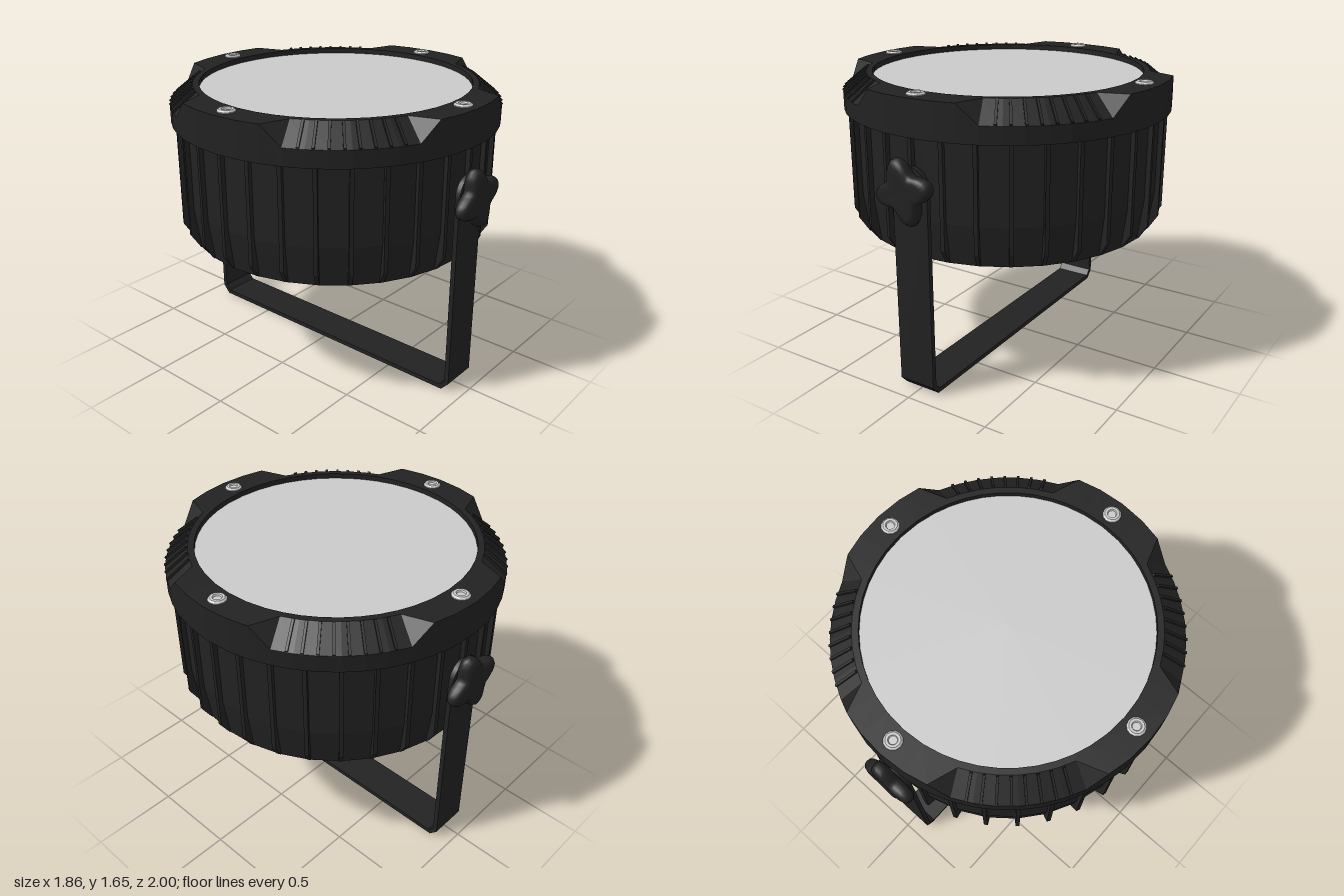
import * as THREE from 'three';
import { mergeVertices } from 'three/addons/utils/BufferGeometryUtils.js';

const black = new THREE.MeshStandardMaterial({ color: 0x222222 });
black.name = 'black casing';
const grey = new THREE.MeshStandardMaterial({ color: 0xcacaca });
grey.name = 'light grey';

const v2 = (pts) => pts.map(([x, y]) => new THREE.Vector2(x, y));

// Faceted copy of a geometry
function flat(geo) {
  const g = geo.index ? geo.toNonIndexed() : geo;
  g.computeVertexNormals();
  return g;
}

function add(parent, name, geo, mat = black) {
  const mesh = new THREE.Mesh(geo, mat);
  mesh.name = name;
  parent.add(mesh);
  return mesh;
}

// Bezel ring: cross-sections swept round, cut back to a chamfer on the four diagonals
function bezelGeometry() {
  const angles = [0, 9, 17, 24, 31, 38, 45, 52, 59, 66, 73, 81];
  const sections = [];
  for (let q = 0; q < 4; q++) {
    for (const d of angles) {
      const cut = d >= 24 && d <= 66;
      const a = THREE.MathUtils.degToRad(q * 90 + d);
      const profile = [
        [0.765, 1.44], [0.765, 1.64],
        [cut ? 0.8 : 0.93, 1.64], [0.93, cut ? 1.535 : 1.64],
        [0.93, 1.44],
      ];
      sections.push(profile.map(([r, y]) => [r * Math.cos(a), y, r * Math.sin(a)]));
    }
  }
  const pos = [];
  sections.forEach((s, i) => {
    const n = sections[(i + 1) % sections.length];
    for (let j = 0; j < s.length; j++) {
      const k = (j + 1) % s.length;
      pos.push(...s[j], ...n[j], ...s[k], ...n[j], ...n[k], ...s[k]);
    }
  });
  const g = new THREE.BufferGeometry();
  g.setAttribute('position', new THREE.Float32BufferAttribute(pos, 3));
  g.computeVertexNormals();
  return g;
}

// Four-lobed knob: a rounded disc whose radius swells with angle, axis along z
function knobGeometry() {
  const profile = v2([
    [0, 0], [0.7, 0], [0.9, 0.01], [0.98, 0.025], [1, 0.043],
    [0.98, 0.06], [0.9, 0.076], [0.72, 0.085], [0.4, 0.082], [0, 0.08],
  ]);
  let g = new THREE.LatheGeometry(profile, 48);
  g.rotateX(Math.PI / 2);
  const p = g.attributes.position;
  for (let i = 0; i < p.count; i++) {
    const t = Math.atan2(p.getY(i), p.getX(i));
    const r = 0.145 + 0.035 * Math.cos(4 * (t - 0.28));
    p.setXY(i, p.getX(i) * r, p.getY(i) * r);
  }
  g.deleteAttribute('uv');
  g.deleteAttribute('normal');
  g = mergeVertices(g, 1e-5);
  g.computeVertexNormals();
  return g;
}

export function createModel() {
  const model = new THREE.Group();
  model.name = 'stageLight';

  // Housing drum, tapering toward its base
  add(model, 'housing', flat(new THREE.LatheGeometry(
    v2([[0, 0.775], [0.85, 0.775], [0.882, 1.0], [0.882, 1.5]]), 32)));

  // Cooling fins around the drum
  const finShape = new THREE.Shape(v2([
    [0.83, 0.778], [0.855, 0.778], [0.908, 0.86], [0.908, 1.5], [0.83, 1.5],
  ]));
  const finGeo = new THREE.ExtrudeGeometry(finShape, { depth: 0.022, bevelEnabled: false });
  finGeo.translate(0, 0, -0.011);
  const fins = new THREE.Group();
  fins.name = 'coolingFins';
  model.add(fins);
  for (let i = 0; i < 32; i++) {
    add(fins, 'fin', finGeo).rotation.y = (i / 32) * Math.PI * 2;
  }

  // Bezel and lens
  add(model, 'bezel', bezelGeometry());
  const lens = add(model, 'lens', new THREE.CircleGeometry(0.775, 48), grey);
  lens.rotation.x = -Math.PI / 2;
  lens.position.y = 1.61;

  // Grip ribs lying on the chamfers
  const ribGeo = new THREE.BoxGeometry(0.16, 0.02, 0.014);
  ribGeo.rotateZ(-Math.atan2(0.105, 0.13));
  ribGeo.translate(0.865, 1.588, 0);
  const ribs = new THREE.Group();
  ribs.name = 'gripRibs';
  model.add(ribs);
  for (let q = 0; q < 4; q++) {
    for (let i = 0; i < 8; i++) {
      const deg = q * 90 + 45 + (i - 3.5) * 4.6;
      add(ribs, 'gripRib', ribGeo).rotation.y = THREE.MathUtils.degToRad(deg);
    }
  }

  // Screws on the bezel, each with a shallow socket
  const screwGeo = flat(new THREE.LatheGeometry(v2([
    [0.05, 1.635], [0.05, 1.645], [0.04, 1.654], [0.026, 1.654], [0.022, 1.645], [0, 1.645],
  ]), 12));
  for (let q = 0; q < 4; q++) {
    const a = (q * Math.PI) / 2;
    add(model, 'screw', screwGeo, grey).position.set(0.84 * Math.cos(a), 0, 0.84 * Math.sin(a));
  }

  // U-shaped bracket with clipped lower corners
  const bracketShape = new THREE.Shape(v2([
    [-0.92, 1.18], [-0.92, 0.05], [-0.875, 0], [0.875, 0], [0.92, 0.05], [0.92, 1.18],
    [0.893, 1.18], [0.893, 0.06], [0.862, 0.026], [-0.862, 0.026], [-0.893, 0.06], [-0.893, 1.18],
  ]));
  const bracketGeo = new THREE.ExtrudeGeometry(bracketShape, { depth: 0.22, bevelEnabled: false });
  bracketGeo.translate(0, 0, -0.11);
  bracketGeo.rotateY(Math.PI / 2);
  add(model, 'bracket', bracketGeo);

  // Rounded bracket ends and clamping knobs, front and back
  const endGeo = new THREE.CylinderGeometry(0.11, 0.11, 0.027, 24);
  endGeo.rotateX(Math.PI / 2);
  const knobGeo = knobGeometry();
  for (const side of [1, -1]) {
    const pivot = new THREE.Group();
    pivot.name = side > 0 ? 'frontPivot' : 'backPivot';
    pivot.rotation.y = side > 0 ? 0 : Math.PI;
    model.add(pivot);
    add(pivot, 'bracketEnd', endGeo).position.set(0, 1.18, 0.9065);
    add(pivot, 'knob', knobGeo).position.set(0, 1.165, 0.915);
  }

  return model;
}
